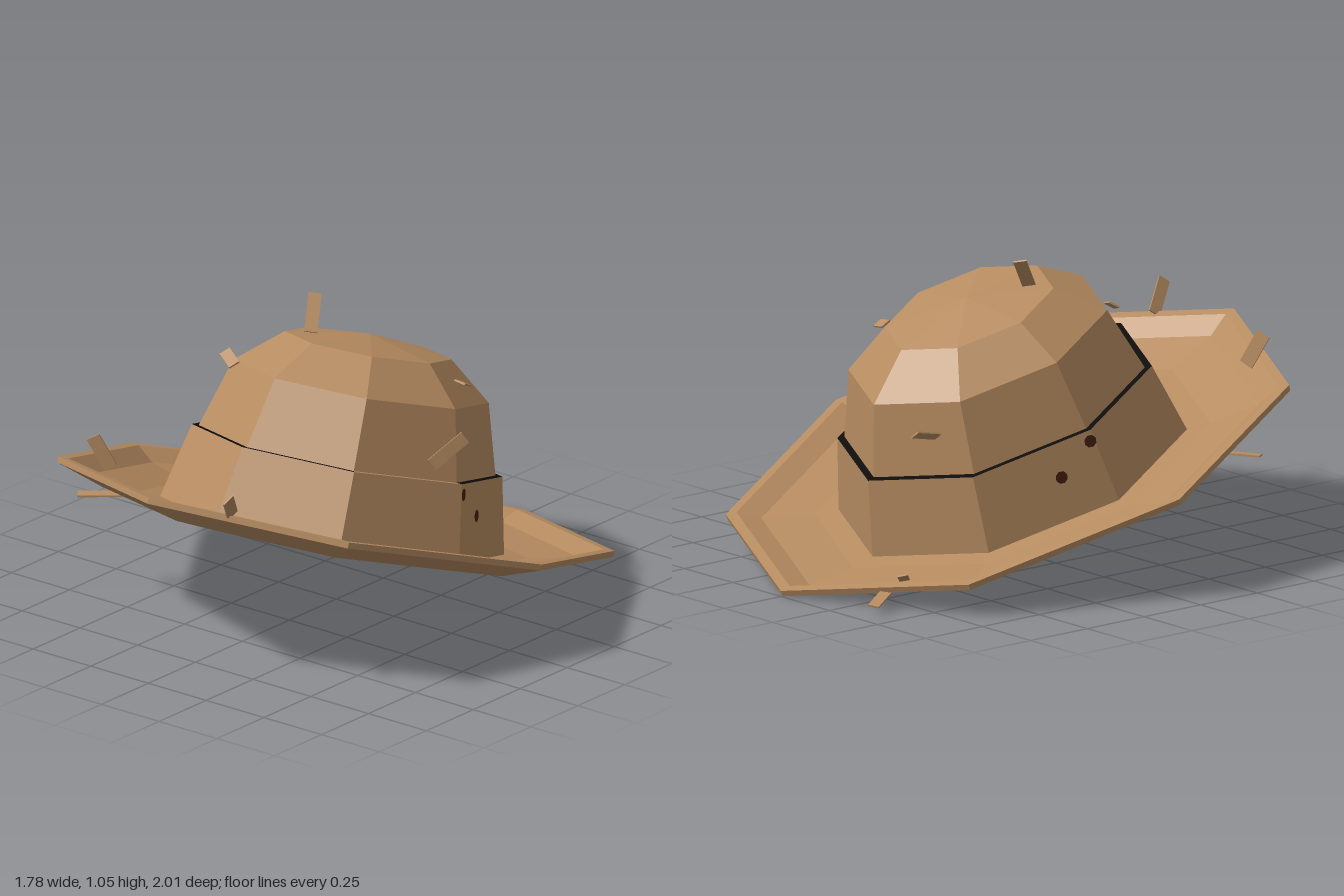
import * as THREE from 'three';

const SIDES = 8;
const X_RATIO = 0.847; // the hat is narrower across than front to back

// Faceted oval part turned from a [radius, height] profile
function turned(name, profile, material, start = 0, segments = SIDES) {
  const points = profile.map(([r, y]) => new THREE.Vector2(r, y));
  const step = (Math.PI * 2) / SIDES;
  const geometry = new THREE.LatheGeometry(points, segments, start * step, segments * step)
    .scale(X_RATIO, 1, 1)
    .toNonIndexed();
  geometry.computeVertexNormals();
  const mesh = new THREE.Mesh(geometry, material);
  mesh.name = name;
  return mesh;
}

// Loose flat straw running from a to b, its broad side facing the given direction
function looseStraw(a, b, facing, width, material) {
  const from = new THREE.Vector3(...a);
  const to = new THREE.Vector3(...b);
  const along = to.clone().sub(from);
  const length = along.length();
  along.normalize();
  const side = new THREE.Vector3(...facing).cross(along).normalize();
  const normal = along.clone().cross(side);
  const mesh = new THREE.Mesh(new THREE.BoxGeometry(width, 0.006, length), material);
  mesh.quaternion.setFromRotationMatrix(new THREE.Matrix4().makeBasis(side, normal, along));
  mesh.position.copy(from).add(to).multiplyScalar(0.5);
  mesh.name = 'looseStraw';
  return mesh;
}

export function createModel() {
  const straw = new THREE.MeshStandardMaterial({ color: 0xb78c61 });
  straw.name = 'straw';
  const shadowGap = new THREE.MeshStandardMaterial({ color: 0x0c0b0a });
  shadowGap.name = 'black';
  const stain = new THREE.MeshStandardMaterial({ color: 0x45200f });
  stain.name = 'dark red brown';

  const model = new THREE.Group();
  model.name = 'strawHat';

  // Hat body, tilted back with the front of the brim raised
  const hat = new THREE.Group();
  hat.name = 'hat';
  hat.position.y = 0.345;
  hat.rotation.x = -Math.PI / 10;
  model.add(hat);

  // Brim: closed flat underside, upturned edge, dished top
  hat.add(turned('brim', [
    [0, -0.107], [0.605, -0.107], [0.868, -0.074], [1.05, -0.018], [1.0515, 0.003],
    [1.012, 0.002], [0.93, -0.04], [0.74, -0.07], [0.55, -0.075],
  ], straw));

  // Crown, with the wider band around its foot
  hat.add(turned('crown', [
    [0.6, -0.08], [0.563, 0.18], [0.483, 0.426], [0.315, 0.55], [0, 0.59],
  ], straw));
  hat.add(turned('band', [[0.652, -0.08], [0.587, 0.187]], straw));

  // Narrow ledge on top of the band, dark except for one stretch
  const ledge = [[0.587, 0.187], [0.558, 0.187]];
  hat.add(turned('bandGap', ledge, shadowGap, 2, 7));
  hat.add(turned('bandLedge', ledge, straw, 1, 1));

  // Small stains on both sides of the band
  for (const s of [-1, 1]) {
    for (const [x, y, z, r] of [[0.474, 0.075, -0.149, 0.022], [0.502, 0.152, -0.016, 0.022]]) {
      const spot = new THREE.Mesh(new THREE.CircleGeometry(r, 8), stain);
      const normal = new THREE.Vector3(s * 0.93, 0.16, -0.33).normalize();
      spot.position.set(s * x, y, z);
      spot.quaternion.setFromUnitVectors(new THREE.Vector3(0, 0, 1), normal);
      spot.name = 'stain';
      hat.add(spot);
    }
  }

  // Loose straws: start, end, facing, width
  const straws = [
    [[-0.11, 0.94, 0.0], [-0.157, 1.045, -0.08], [0.6, 0.3, 0.6], 0.045],
    [[-0.32, 0.88, 0.2], [-0.25, 0.858, 0.235], [0.1, 0.8, 0.6], 0.04],
    [[-0.39, 0.6, 0.72], [-0.44, 0.71, 0.755], [0.4, 0, 1], 0.05],
    [[0.25, 0.63, 0.86], [0.305, 0.725, 0.95], [-0.5, 0.5, 0.2], 0.045],
    [[0.43, 0.6, 0.02], [0.485, 0.68, -0.09], [0.7, 0.1, 0.6], 0.045],
    [[0.29, 0.775, -0.29], [0.335, 0.77, -0.29], [0.3, 0.8, -0.4], 0.04],
    [[-0.55, 0.378, 0.43], [-0.69, 0.373, 0.53], [0.1, 1, 0], 0.04],
    [[-0.34, 0.06, -0.82], [-0.385, 0.03, -0.92], [0, 1, 0.2], 0.04],
    [[-0.3, 0.07, -0.71], [-0.335, 0.1, -0.75], [0.3, 1, 0], 0.035],
    [[-0.225, 0.52, -0.5], [-0.235, 0.545, -0.61], [0.6, 0.7, 0], 0.035],
  ];
  for (const [a, b, facing, width] of straws) {
    model.add(looseStraw(a, b, facing, width, straw));
  }
  return model;
}
